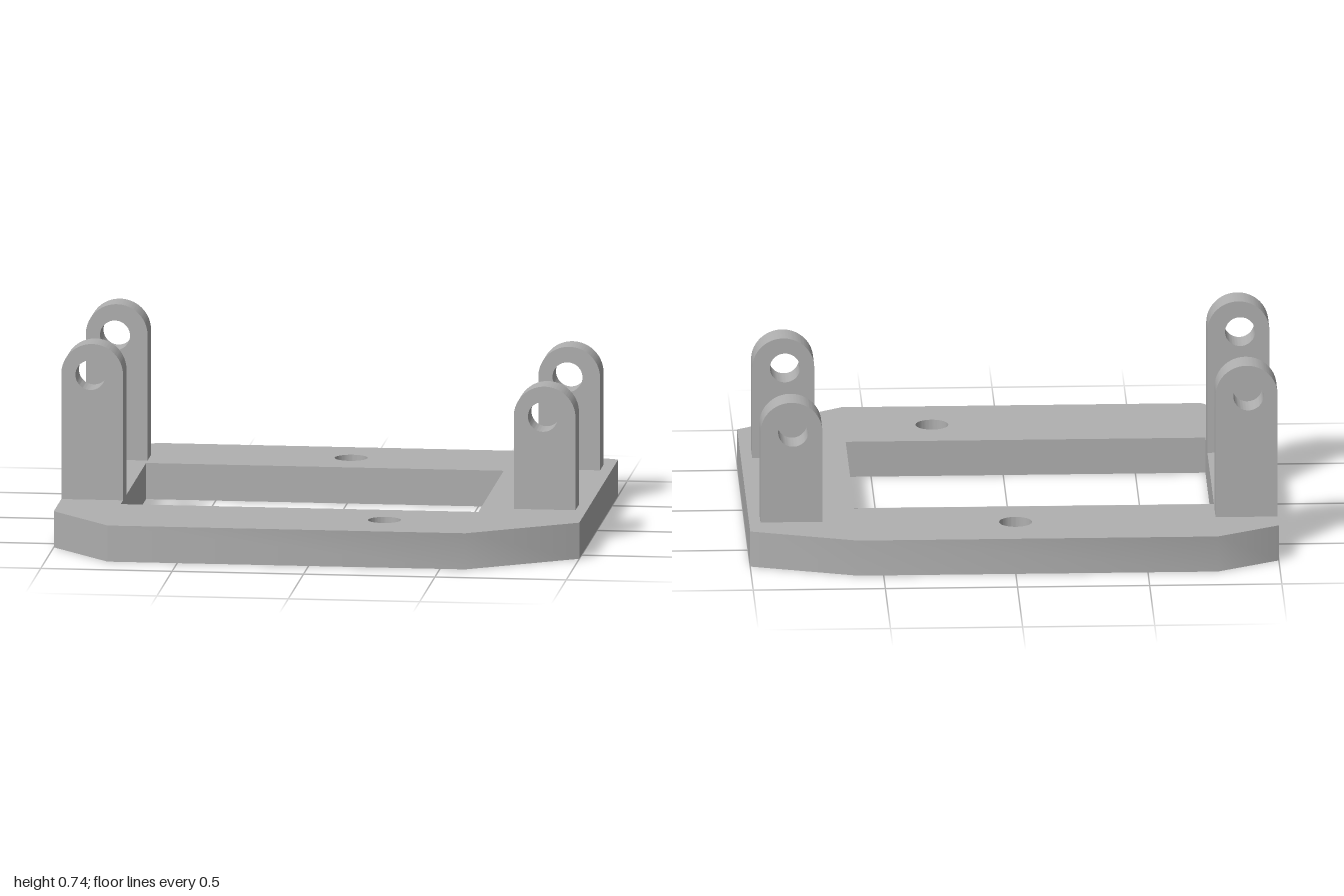
import * as THREE from 'three';
import { toCreasedNormals } from 'three/addons/utils/BufferGeometryUtils.js';

const PLATE_HEIGHT = 0.139;

function extrude(shape, depth) {
  const geometry = new THREE.ExtrudeGeometry(shape, { depth, bevelEnabled: false, curveSegments: 32 });
  return toCreasedNormals(geometry, 0.6);
}

function circleHole(x, y, radius) {
  return new THREE.Path().absarc(x, y, radius, 0, Math.PI * 2, true);
}

const points = (list) => list.map(([x, z]) => new THREE.Vector2(x, -z));

// Upright lug with a rounded top and a pin hole, placed by its left edge
function lugGeometry(left, right, top, holeX, holeY) {
  const radius = (right - left) / 2;
  const shape = new THREE.Shape();
  shape.moveTo(left, PLATE_HEIGHT);
  shape.lineTo(right, PLATE_HEIGHT);
  shape.lineTo(right, top - radius);
  shape.absarc((left + right) / 2, top - radius, radius, 0, Math.PI, false);
  shape.closePath();
  shape.holes.push(circleHole(holeX, holeY, 0.057));
  return extrude(shape, 0.114);
}

export function createModel() {
  const model = new THREE.Group();
  model.name = 'mountingBracket';
  const grey = new THREE.MeshStandardMaterial({ color: 0xb0b0b0 });
  grey.name = 'grey';

  // Base plate: chamfered outline, rectangular window and two screw holes
  const outline = new THREE.Shape(points([
    [-1, 0.573], [-0.765, 0.835], [0.596, 0.835], [1, 0.573],
    [1, -0.705], [0.596, -0.835], [-0.765, -0.835], [-1, -0.705],
  ]));
  outline.holes.push(
    new THREE.Path(points([[-0.765, 0.402], [-0.765, -0.43], [0.596, -0.43], [0.596, 0.402]])),
    circleHole(-0.007, 0.623, 0.062),
    circleHole(0.262, -0.604, 0.062),
  );
  const plate = new THREE.Mesh(extrude(outline, PLATE_HEIGHT), grey);
  plate.name = 'basePlate';
  plate.rotation.x = -Math.PI / 2;
  model.add(plate);

  // Tall lugs on one side, short lugs on the other
  const lugs = {
    TallLug: lugGeometry(-1, -0.765, 0.738, -0.889, 0.618),
    ShortLug: lugGeometry(0.722, 0.957, 0.612, 0.833, 0.495),
  };
  for (const [name, geometry] of Object.entries(lugs)) {
    for (const [end, z] of [['front', 0.212], ['back', -0.594]]) {
      const lug = new THREE.Mesh(geometry, grey);
      lug.name = end + name;
      lug.position.z = z;
      model.add(lug);
    }
  }
  return model;
}
